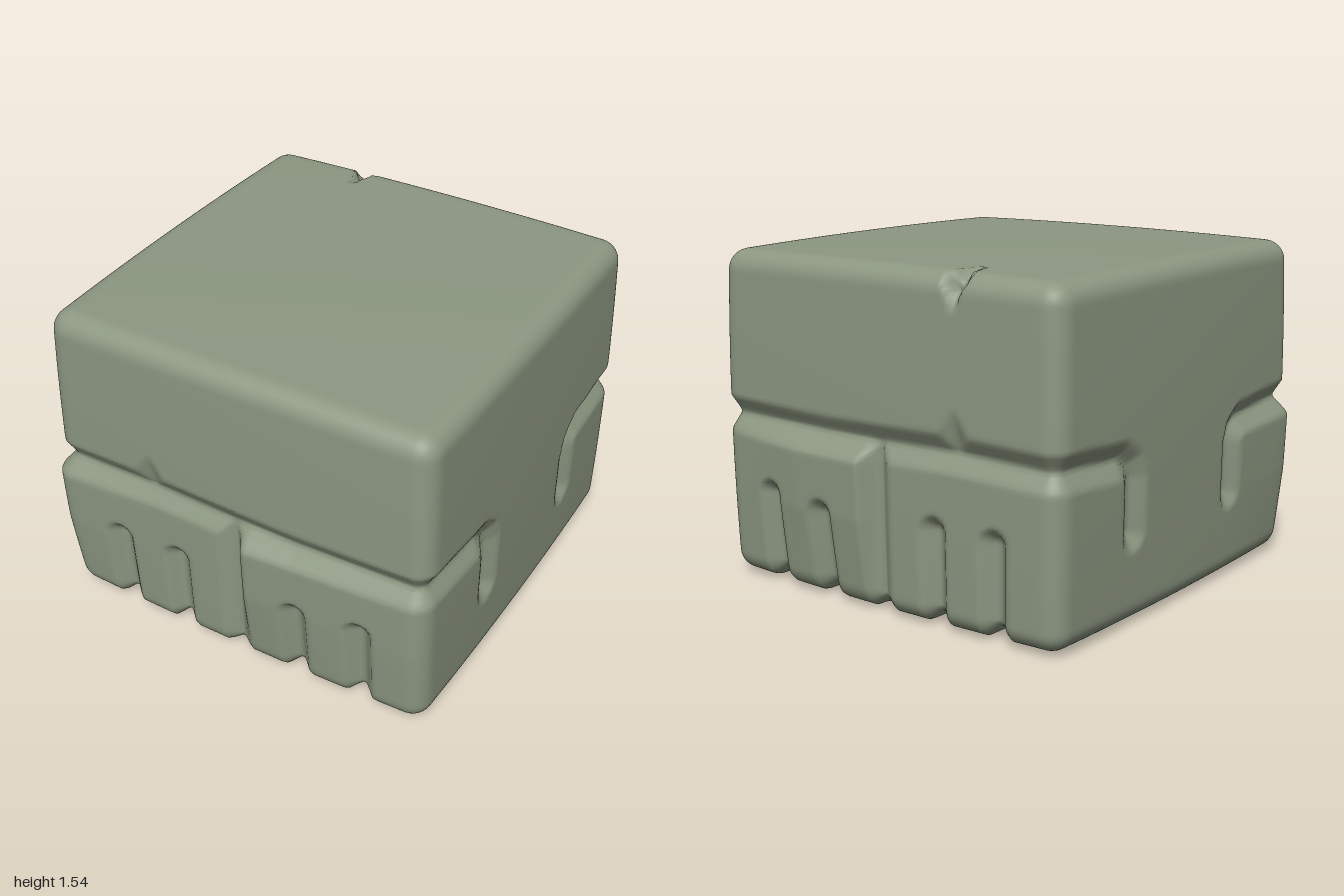
import * as THREE from 'three';
import { mergeVertices } from 'three/addons/utils/BufferGeometryUtils.js';

const H = 0.935, HY = 0.75, MID = 0.77, R = 0.09; // half sizes, centre height, edge radius
const V = (x, y, z) => new THREE.Vector3(x, y, z);
const clamp = THREE.MathUtils.clamp;

// Piecewise linear function through [position, value] points
function ramp(t, pts) {
  if (t <= pts[0][0]) return pts[0][1];
  for (let i = 1; i < pts.length; i++) {
    const [a, va] = pts[i - 1], [b, vb] = pts[i];
    if (t <= b) return va + (vb - va) * (t - a) / (b - a);
  }
  return pts[pts.length - 1][1];
}

// A groove follows a path over the surface of the block
function groove(points, width, depth, steep = 1) {
  const segs = [];
  for (let i = 1; i < points.length; i++) segs.push(new THREE.Line3(points[i - 1], points[i]));
  const box = new THREE.Box3().setFromPoints(points).expandByScalar(width);
  return { segs, box, width, depth, steep };
}

const near = V(0, 0, 0);
function grooveDepth(g, p) {
  if (!g.box.containsPoint(p)) return 0;
  let d = g.width;
  for (const s of g.segs) d = Math.min(d, s.closestPointToPoint(p, true, near).distanceTo(p));
  return g.depth * Math.min(1, g.steep * (1 - d / g.width));
}

// Pointed chip cut into the stone
function chipDepth(p, x, y, z, w, h, l, depth) {
  const t = Math.abs(p.x - x) / w + Math.abs(p.y - y) / h + Math.abs(p.z - z) / l;
  return depth * Math.max(0, 1 - t);
}

function makeGrooves() {
  const list = [];
  for (const s of [1, -1]) {
    const hook = s > 0 ? 0.38 : 0.41;
    // Seam across the face, hooking down on both sides
    const half = [V(H, 0.42, s * hook), V(H, 0.65, s * hook), V(H, 0.71, s * (hook + 0.02)),
      V(H, 0.75, s * (hook + 0.08)), V(H, 0.775, s * 0.845), V(H - 0.026, 0.775, s * (H - 0.026)),
      V(0.845, 0.775, s * H), V(0.3, 0.765, s * H)];
    const other = half.slice(0, 7).reverse().map(p => V(-p.x, p.y, p.z));
    list.push(groove([...half, V(-0.42, 0.785, s * H), ...other], 0.08, 0.05));

    // Gap between the two lower halves
    list.push(groove([V(0, 0.775, s * H), V(0, 0.11, s * H), V(0, 0.05, s * (H - 0.03)),
      V(0, 0.02, s * 0.84)], 0.07, 0.05));

    // Finger slots, wrapping on to the underside
    const end = s > 0 ? 0.53 : 0.33;
    for (const [x, top] of [[-0.615, 0.44], [-0.305, 0.44], [0.31, 0.41], [0.625, 0.44]]) {
      list.push(groove([V(x, top, s * H), V(x, 0.11, s * H), V(x, 0.046, s * (H - 0.026)),
        V(x, 0.02, s * 0.845), V(x, 0.02, s * end)], 0.07, 0.055, 1.25));
    }
  }
  // Shallow line along the underside
  list.push(groove([V(0, 0.02, 0.9), V(0, 0.02, -0.9)], 0.05, 0.02));
  return list;
}

// Depth of everything carved at a point of the plain block
function carve(p, grooves) {
  let d = 0;
  for (const g of grooves) d = Math.max(d, grooveDepth(g, p));
  if (p.y > 0.775) {
    for (const s of [1, -1]) d = Math.max(d, chipDepth(p, -0.42, 0.775, s * H, 0.14, 0.2, 0.2, 0.055));
  }
  return Math.max(d, chipDepth(p, -0.42, 1.5, -0.92, 0.07, 0.17, 0.24, 0.1));
}

// How far the lower halves stand out, by height and by position across
const RISE = [[0.08, 0], [0.42, 0.85], [0.68, 1], [0.78, 0]];
const FRONT = [[-0.9, 0.028], [-0.4, 0.003], [0.03, 0], [0.075, 0.045], [0.3, 0.03], [0.85, 0.014]];
const BACK = [[0.03, 0], [0.075, 0.045], [0.45, 0.045], [0.9, 0]];

function stoneGeometry() {
  let geo = new THREE.BoxGeometry(2 * H, 2 * HY, 2 * H, 100, 90, 100);
  geo.deleteAttribute('uv');
  geo.deleteAttribute('normal');
  geo = mergeVertices(geo, 1e-4);
  const pos = geo.attributes.position, grooves = makeGrooves();
  const p = V(0, 0, 0), core = V(0, 0, 0), n = V(0, 0, 0);
  for (let i = 0; i < pos.count; i++) {
    // Round the edges
    p.fromBufferAttribute(pos, i);
    core.set(clamp(p.x, R - H, H - R), clamp(p.y, R - HY, HY - R), clamp(p.z, R - H, H - R));
    n.subVectors(p, core).normalize();
    p.copy(core).addScaledVector(n, R);
    p.y += MID;

    // Carve grooves and chips
    const depth = carve(p, grooves);
    const { x, z } = p, y = p.y - MID;
    const xx = (x / H) ** 2, yy = (y / HY) ** 2, zz = (z / H) ** 2;
    const rise = ramp(p.y, RISE);
    const flare = rise * ramp(x, z > 0 ? FRONT : BACK) * clamp((Math.abs(z) - 0.6) / 0.25, 0, 1);
    const corner = rise * 0.02 * clamp((z - 0.3) / 0.5, 0, 1) * (x < -0.7 ? 1 : 0);
    p.addScaledVector(n, -depth);

    // Swell the faces and push the lower halves outward
    p.x *= 1 + 0.014 * (2 - yy - zz);
    p.z *= 1 + 0.014 * (2 - yy - xx);
    p.y = MID + (p.y - MID) * (1 + 0.013 * (2 - xx - zz));
    p.z += Math.sign(z) * flare;
    p.x -= corner;
    pos.setXYZ(i, p.x, p.y, p.z);
  }
  geo.computeVertexNormals();
  return geo;
}

export function createModel() {
  const stone = new THREE.MeshStandardMaterial({ color: 0x8c9781 });
  stone.name = 'mossy stone';
  const block = new THREE.Mesh(stoneGeometry(), stone);
  block.name = 'carvedStoneBlock';
  const model = new THREE.Group();
  model.name = 'stoneBlock';
  model.add(block);
  return model;
}
